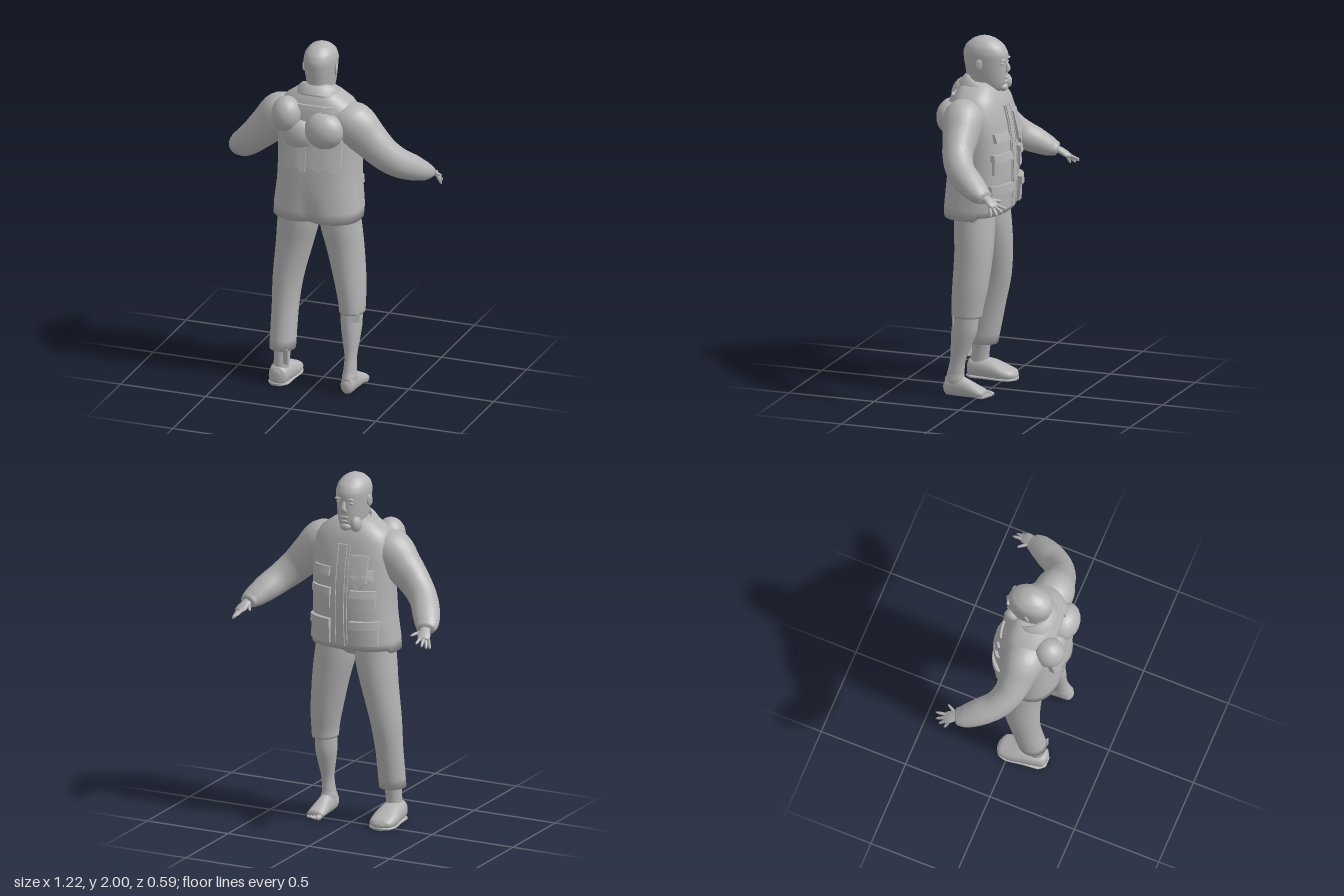
import * as THREE from 'three';

const grey = new THREE.MeshStandardMaterial({ color: 0xb4b4b4, side: THREE.DoubleSide });
grey.name = 'plain grey';

const V = (x, y, z) => new THREE.Vector3(x, y, z);

// Skin over elliptical rings. Row: [x, y, z, radius along ref, radius across]
function loft(rows, { ref = V(0, 0, 1), flat = false, steps = 4, sides = 24, power = 2, rule } = {}) {
  const centre = new THREE.CatmullRomCurve3(rows.map(r => V(r[0], r[1], r[2])));
  const radius = new THREE.CatmullRomCurve3(rows.map(r => V(r[3], r[4], 0)));
  const n = (rows.length - 1) * steps, pos = [], idx = [];
  const bend = c => Math.sign(c) * Math.abs(c) ** (2 / power);
  for (let i = 0; i <= n; i++) {
    const c = centre.getPoint(i / n), r = radius.getPoint(i / n);
    const t = flat ? V(0, 1, 0) : centre.getTangent(i / n);
    const u = ref.clone().addScaledVector(t, -ref.dot(t)).normalize();
    const v = t.clone().cross(u);
    for (let j = 0; j < sides; j++) {
      const a = j / sides * Math.PI * 2;
      const p = c.clone().addScaledVector(u, bend(Math.cos(a)) * r.x).addScaledVector(v, bend(Math.sin(a)) * r.y);
      if (rule) rule(p);
      pos.push(p.x, p.y, p.z);
      if (i < n) {
        const k = i * sides, m = (j + 1) % sides;
        idx.push(k + j, k + m, k + sides + j, k + m, k + sides + m, k + sides + j);
      }
    }
  }
  // End caps
  for (const [i, start] of [[0, true], [n, false]]) {
    const c = centre.getPoint(i / n);
    if (rule) rule(c);
    const o = pos.length / 3;
    pos.push(c.x, c.y, c.z);
    for (let j = 0; j < sides; j++) {
      const a = i * sides + j, b = i * sides + (j + 1) % sides;
      start ? idx.push(o, b, a) : idx.push(o, a, b);
    }
  }
  const g = new THREE.BufferGeometry();
  g.setAttribute('position', new THREE.Float32BufferAttribute(pos, 3));
  g.setIndex(idx);
  g.computeVertexNormals();
  return g;
}

// Jacket profile: [y, half width, chest z, back z]
const JACKET = [
  [1.0, .25, -.10, .245], [1.06, .25, -.12, .246], [1.2, .235, -.13, .235], [1.32, .232, -.127, .222],
  [1.45, .235, -.118, .212], [1.55, .235, -.1, .208], [1.63, .228, -.08, .203], [1.68, .195, -.06, .19],
  [1.72, .14, -.035, .172], [1.75, .09, -.01, .15],
];
const POWER = 2.5;
function jacketZ(x, y, side) {
  let i = 0;
  while (i < JACKET.length - 2 && JACKET[i + 1][0] < y) i++;
  const A = JACKET[i], B = JACKET[i + 1], t = THREE.MathUtils.clamp((y - A[0]) / (B[0] - A[0]), 0, 1);
  const [w, f, b] = [1, 2, 3].map(k => A[k] + (B[k] - A[k]) * t);
  const d = (1 - Math.min(1, Math.abs(x / w)) ** POWER) ** (1 / POWER);
  return (f + b) / 2 + side * d * (b - f) / 2;
}

// Thick cloth panel following the jacket; side -1 is the chest, +1 the back
function panel(x0, x1, y0, y1, side, thick, { jag = 0, flare = 0 } = {}) {
  const g = new THREE.BoxGeometry(1, 1, 1, 10, 6, 1), p = g.attributes.position;
  for (let i = 0; i < p.count; i++) {
    const low = .5 - p.getY(i), x = x0 + (x1 - x0) * (p.getX(i) + .5);
    const y = y0 + (y1 - y0) * (p.getY(i) + .5) + low * jag * Math.sin(x * 75);
    const out = p.getZ(i) * side > 0 ? 1 : -.5;
    p.setXYZ(i, x, y, jacketZ(x, y, side) + side * (out * thick + low * flare));
  }
  g.computeVertexNormals();
  return g;
}

const ball = (x, y, z, a, b, c) => new THREE.SphereGeometry(1, 20, 14).scale(a, b, c).translate(x, y, z);

export function createModel() {
  const model = new THREE.Group();
  const add = (name, geometry, parent = model) => {
    const m = new THREE.Mesh(geometry, grey);
    m.name = name;
    parent.add(m);
    return m;
  };
  const group = name => {
    const g = new THREE.Group();
    g.name = name;
    model.add(g);
    return g;
  };

  // Head: [y, half width, face z, nape z]
  const head = group('head');
  add('skull', loft([
    [1.6, .06, .0, .13], [1.67, .062, -.01, .135], [1.70, .062, -.06, .14], [1.74, .07, -.083, .145],
    [1.79, .078, -.088, .148], [1.85, .086, -.088, .158], [1.90, .09, -.09, .163], [1.945, .082, -.07, .148],
    [1.98, .054, -.025, .108], [1.995, .024, .012, .07], [2.0, .004, .036, .044],
  ].map(([y, w, f, b]) => [0, y, (f + b) / 2, (b - f) / 2, w]), { flat: true, power: 2.1 }), head);
  add('nose', loft([[0, 1.865, -.083, .006, .009], [0, 1.83, -.094, .013, .014], [0, 1.812, -.092, .012, .019],
    [0, 1.8, -.082, .005, .012]].reverse(), { flat: true, sides: 12 }), head);
  add('upperLip', ball(0, 1.776, -.084, .026, .008, .01), head);
  add('lowerLip', ball(0, 1.752, -.08, .024, .008, .012), head);
  add('chin', ball(0, 1.718, -.065, .032, .024, .026), head);
  add('tornCheek', new THREE.IcosahedronGeometry(1, 1).scale(.03, .045, .04).translate(-.06, 1.735, -.055), head);
  for (const s of [-1, 1]) {
    add('brow', ball(s * .036, 1.877, -.078, .025, .008, .012), head);
    add('eye', ball(s * .036, 1.856, -.073, .014, .008, .01), head);
    const ear = add('ear', ball(0, 0, 0, .009, .034, .021), head);
    ear.position.set(s * .091, 1.85, .045);
    ear.rotation.set(-.15, s * .35, 0);
  }

  // Jacket body, with a dent in the rear hem
  add('jacketBody', loft(JACKET.map(([y, w, f, b]) => [0, y, (f + b) / 2, (b - f) / 2, w]), {
    flat: true, steps: 1, sides: 48, power: POWER,
    rule: p => {
      const low = Math.max(0, 1.2 - p.y) / .2;
      if (p.z > 0) p.z -= .03 * low * Math.exp(-((p.x / .05) ** 2));
      else if (p.y < 1.05) p.y += .02;
    },
  }));

  // Folded collar, higher at the nape
  const collar = add('collar', new THREE.LatheGeometry([[.085, -.04], [.088, .03], [.1, .04], [.118, .02], [.135, -.025],
    [.125, -.035]].map(([r, y]) => new THREE.Vector2(r, y)), 32));
  collar.scale.set(1, 1, .93);
  collar.position.set(0, 1.715, .058);
  collar.rotation.x = -.4;

  // Chest details
  const chest = group('jacketFront');
  add('placket', panel(-.022, .022, 1.05, 1.62, -1, .009), chest);
  for (const s of [-1, 1]) {
    const pair = (a, b) => s > 0 ? [a, b] : [-b, -a];
    add('frontEdge', panel(...pair(.03, .04), 1.06, 1.62, -1, .008), chest);
    add('lowerPocket', panel(...pair(.065, .205), 1.06, 1.165, -1, .018), chest);
    add('lowerPocketFlap', panel(...pair(.06, .21), 1.155, 1.2, -1, .025, { flare: .005 }), chest);
    add('middlePocket', panel(...pair(.065, .19), 1.26, 1.34, -1, .014), chest);
    add('middlePocketFlap', panel(...pair(.06, .195), 1.335, 1.375, -1, .02, { flare: .006 }), chest);
    add('upperFlap', panel(...pair(.07, .18), 1.44, 1.49, -1, .014, { jag: s < 0 ? .015 : 0, flare: .008 }), chest);
  }
  add('tornPatch', panel(-.15, -.05, 1.4, 1.57, -1, .012, { jag: .02, flare: .01 }), chest);

  // Torn pack on the back
  const pack = group('tornPack');
  add('leftPanel', panel(-.15, -.01, 1.32, 1.56, 1, .02, { jag: .014, flare: .024 }), pack);
  add('rightPanel', panel(-.01, .18, 1.32, 1.56, 1, .016, { jag: .014, flare: .018 }), pack);
  add('sidePanel', panel(-.2, -.13, 1.48, 1.66, 1, .02, { jag: .012 }), pack);
  add('topStrap', panel(-.12, .13, 1.655, 1.68, 1, .014), pack);
  add('strapTab', panel(.07, .13, 1.63, 1.68, 1, .02), pack);
  add('upperBulge', ball(-.14, 1.615, .2, .083, .1, .088), pack);
  add('mainBulge', ball(.08, 1.545, .2, .112, .105, .088), pack);
  add('middleBulge', ball(-.06, 1.5, .2, .1, .09, .06), pack);

  // Arms and hands
  for (const s of [-1, 1]) {
    const arm = group(s > 0 ? 'leftArm' : 'rightArm');
    const limb = (name, rows, sides = 24, ref = V(0, 1, 0)) =>
      add(name, loft(rows.map(([x, ...r]) => [s * x, ...r]), { ref, sides }), arm);
    limb('sleeve', [
      [.13, 1.6, .085, .09, .1], [.21, 1.56, .085, .125, .115], [.29, 1.485, .075, .108, .098], [.37, 1.405, .06, .092, .084],
      [.44, 1.34, .015, .083, .078], [.495, 1.29, -.06, .073, .077], [.535, 1.25, -.13, .055, .066], [.55, 1.233, -.175, .035, .05],
    ]);
    limb('palm', [[.545, 1.24, -.15, .02, .028], [.552, 1.228, -.185, .019, .03], [.562, 1.21, -.215, .017, .036],
      [.572, 1.195, -.24, .011, .03]], 16);
    const fingers = [
      ['thumb', [.535, 1.225, -.19], [.495, 1.21, -.25]], ['indexFinger', [.553, 1.207, -.225], [.555, 1.185, -.3]],
      ['middleFinger', [.568, 1.2, -.23], [.583, 1.168, -.287]], ['ringFinger', [.58, 1.195, -.227], [.6, 1.152, -.262]],
      ['littleFinger', [.587, 1.195, -.212], [.606, 1.143, -.228]],
    ];
    for (const [name, a, b] of fingers) {
      const at = t => a.map((v, i) => v + (b[i] - v) * t);
      limb(name, [[...at(-.15), .009, .01], [...at(.4), .0095, .0095], [...at(.85), .007, .007], [...at(1), .001, .001]], 10, V(0, 1, .3));
    }
  }

  // Trousers: left leg torn at the knee, right leg full length
  const trousers = group('trousers');
  const thigh = s => [[s * .183, .6, .06, .1, .085], [s * .15, .8, .05, .108, .104],
    [s * .124, .95, .056, .113, .117], [s * .115, 1.06, .06, .11, .115]];
  add('leftTrouserLeg', loft([[.197, .45, .073, .086, .071], [.195, .5, .07, .09, .074], ...thigh(1)], { flat: true }), trousers);
  add('rightTrouserLeg', loft([[-.192, .2, .125, .082, .073], [-.192, .42, .085, .086, .074], ...thigh(-1)], { flat: true }), trousers);
  add('seat', ball(0, 1.03, .057, .2, .075, .1), trousers);
  const tear = add('kneeTear', new THREE.BoxGeometry(.06, .05, .006), trousers);
  tear.position.set(.232, .435, .14);
  tear.rotation.y = .45;
  const shred = add('cuffTear', new THREE.BoxGeometry(.055, .09, .006), trousers);
  shred.position.set(-.16, .17, .185);
  shred.rotation.y = -.4;

  // Lower legs
  add('leftCalf', loft([[.207, .05, .14, .05, .036], [.207, .11, .135, .05, .036], [.207, .19, .123, .044, .033],
    [.202, .3, .1, .062, .048], [.198, .38, .085, .073, .058], [.195, .5, .075, .07, .06]], { flat: true }));
  add('rightAnkle', loft([[-.19, .05, .145, .055, .045], [-.19, .12, .145, .052, .043], [-.185, .26, .125, .055, .048]], { flat: true }));

  // Feet, running from heel to toe with flattened soles
  const up = V(0, 1, 0);
  const sole = p => { p.y = Math.max(0, p.y); };
  const foot = group('bareFoot');
  add('foot', loft([[.207, .045, .202, .02, .015], [.207, .045, .185, .05, .036], [.207, .055, .14, .065, .04],
    [.207, .045, .08, .055, .042], [.207, .03, .01, .036, .05], [.207, .02, -.04, .022, .048]], { ref: up, rule: sole }), foot);
  for (let i = 0; i < 5; i++) {
    const r = i ? .012 - i * .0008 : .016;
    add('toe', ball(.172 + i * .0185, r, -.052 + i * .007, r * .85, r, .027), foot);
  }
  const shoe = group('shoe');
  add('shoeUpper', loft([[-.195, .05, .216, .03, .02], [-.195, .05, .2, .055, .05], [-.196, .055, .14, .06, .062],
    [-.198, .05, .08, .058, .068], [-.2, .037, .01, .043, .075], [-.2, .028, -.045, .03, .064], [-.2, .02, -.07, .01, .025]],
  { ref: up, rule: sole, power: 2.3 }), shoe);
  add('shoeSole', loft([[-.196, .008, .217, .008, .03], [-.196, .008, .18, .008, .06], [-.198, .008, .09, .008, .066],
    [-.2, .008, 0, .008, .077], [-.2, .008, -.05, .008, .062], [-.2, .008, -.072, .008, .025]], { ref: up, power: 4 }), shoe);

  return model;
}
